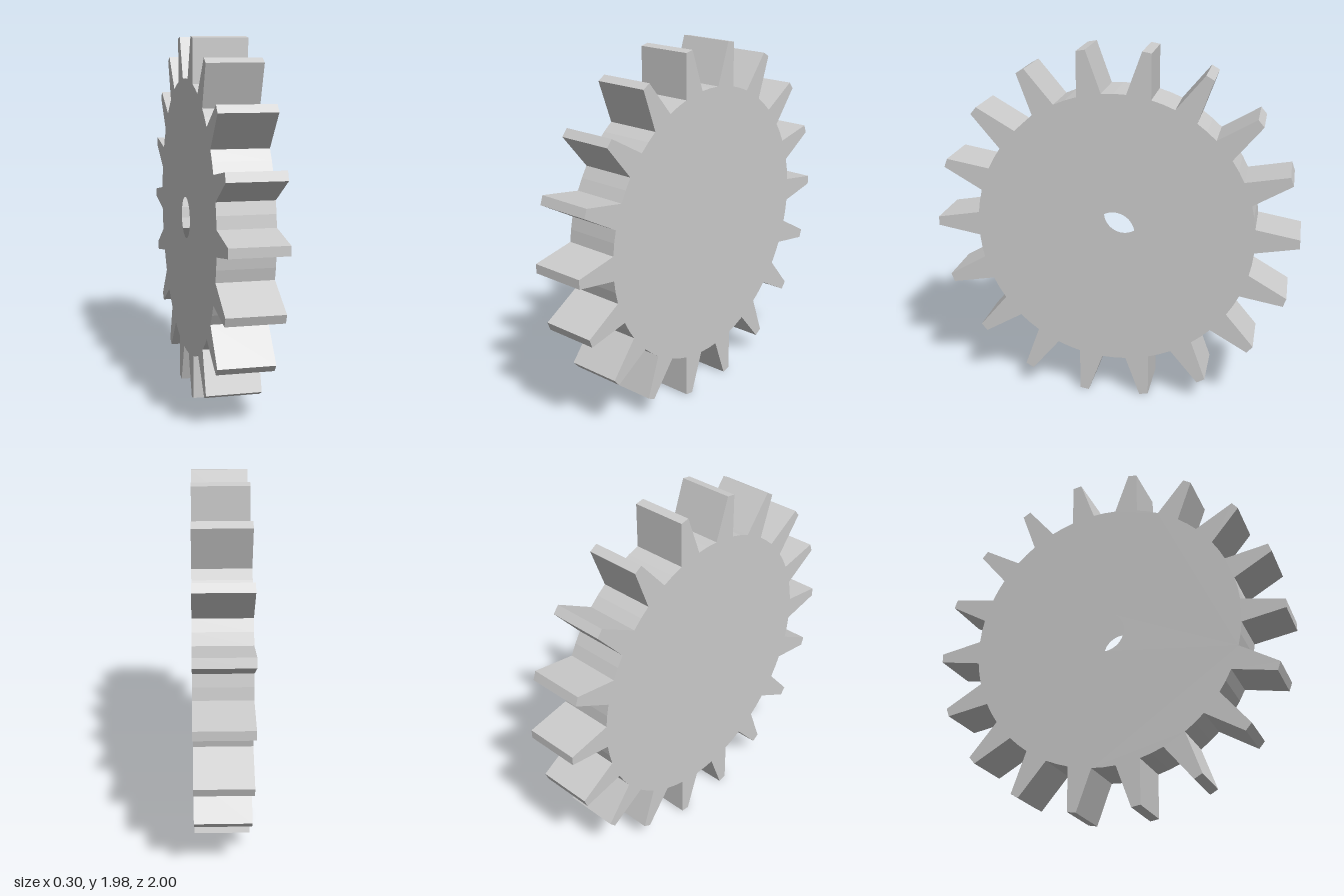
import * as THREE from 'three';

const TEETH = 18;
const HALF_WIDTH = 0.15;
const ROOT_RADIUS = 0.766;
const TIP_HALF = 0.025;
const BORE_RADIUS = 0.115;
const CENTRE_Y = 0.989;

// Counter-clockwise gear outline: tapered teeth joined by short root arcs
function gearOutline() {
  const points = [];
  const step = (Math.PI * 2) / TEETH;
  const polar = (r, a) => new THREE.Vector2(r * Math.cos(a), r * Math.sin(a));
  const tipAngle = Math.atan(TIP_HALF);
  const tipRadius = Math.hypot(1, TIP_HALF);
  for (let i = 0; i < TEETH; i++) {
    const a = i * step;
    points.push(
      polar(ROOT_RADIUS, a - step / 4),
      polar(tipRadius, a - tipAngle),
      polar(tipRadius, a + tipAngle),
      polar(ROOT_RADIUS, a + step / 4),
      polar(ROOT_RADIUS, a + step / 2),
    );
  }
  return points;
}

// Flat-sided band that follows the outline across the gear's width
function rimGeometry(outline) {
  const positions = [];
  outline.forEach((p, i) => {
    const q = outline[(i + 1) % outline.length];
    const a = [p.x, p.y, -HALF_WIDTH], b = [q.x, q.y, -HALF_WIDTH];
    const c = [q.x, q.y, HALF_WIDTH], d = [p.x, p.y, HALF_WIDTH];
    positions.push(...a, ...b, ...c, ...a, ...c, ...d);
  });
  const geometry = new THREE.BufferGeometry();
  geometry.setAttribute('position', new THREE.Float32BufferAttribute(positions, 3));
  geometry.computeVertexNormals();
  return geometry;
}

export function createModel() {
  const material = new THREE.MeshStandardMaterial({
    color: 0xcccccc, flatShading: true, side: THREE.DoubleSide,
  });
  const gear = new THREE.Group();
  gear.name = 'gear';
  const add = (name, geometry) => {
    const mesh = new THREE.Mesh(geometry, material);
    mesh.name = name;
    gear.add(mesh);
    return mesh;
  };

  const outline = gearOutline();
  add('toothedRim', rimGeometry(outline));

  // Side plates with the axle hole; the hollow body has no bore wall
  const plate = new THREE.Shape(outline);
  plate.holes.push(new THREE.Path().absarc(0, 0, BORE_RADIUS, 0, Math.PI * 2, true));
  const plateGeometry = new THREE.ShapeGeometry(plate, 24);
  add('leftPlate', plateGeometry).position.z = HALF_WIDTH;
  const rightPlate = add('rightPlate', plateGeometry);
  rightPlate.position.z = -HALF_WIDTH;
  rightPlate.rotation.y = Math.PI;

  // Turn the axle onto x and stand the gear on the ground
  gear.rotation.y = Math.PI / 2;
  gear.position.y = CENTRE_Y;

  const model = new THREE.Group();
  model.name = 'gearWheel';
  model.add(gear);
  return model;
}
